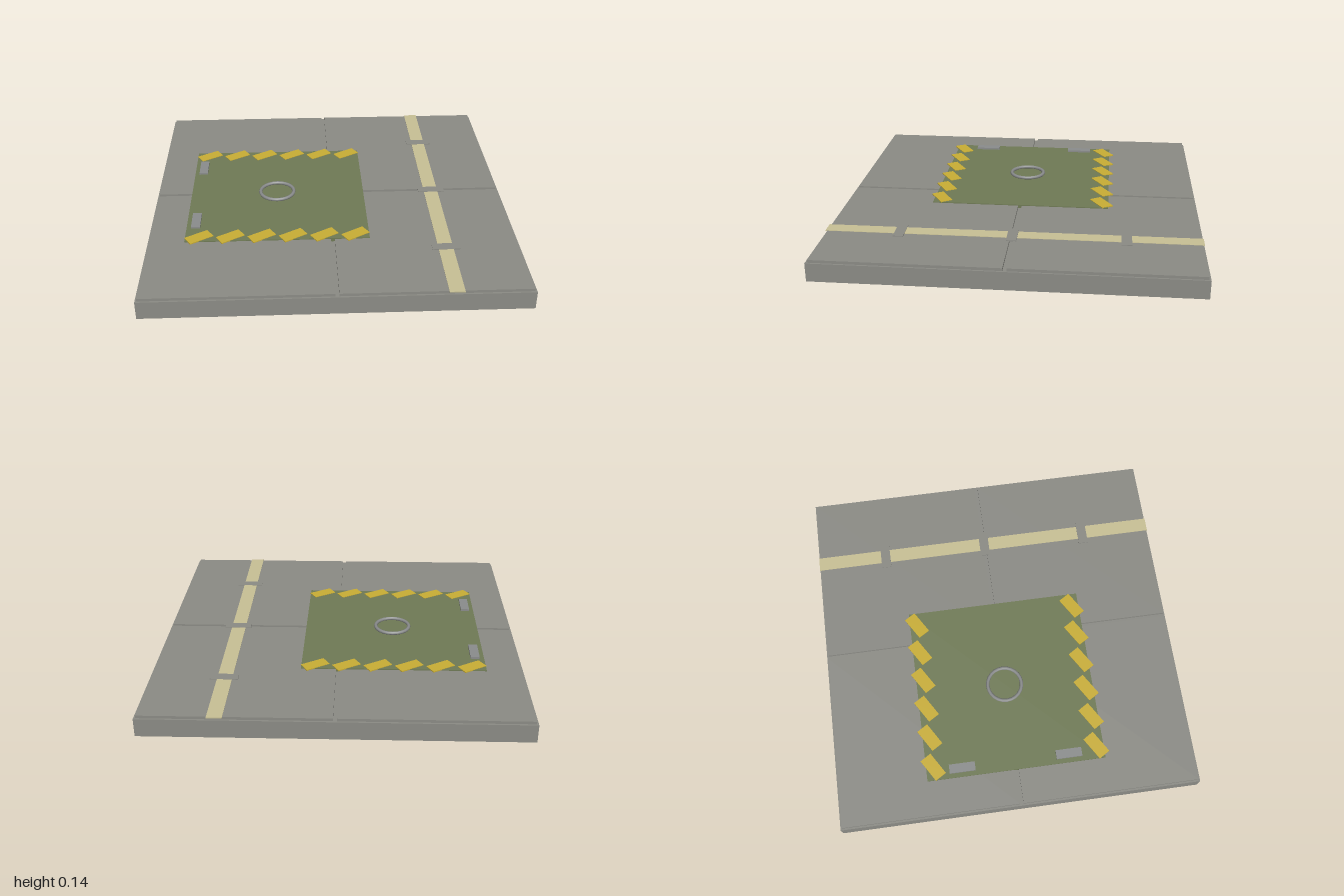
import * as THREE from 'three';

const paint = (name, color) => {
  const m = new THREE.MeshStandardMaterial({ color });
  m.name = name;
  return m;
};

export function createModel() {
  const concrete = paint('concrete grey', 0x8b8b85);
  const green = paint('hatch green', 0x6f7a55);
  const yellow = paint('hazard yellow', 0xc9ae35);
  const cream = paint('faded line cream', 0xc8c095);
  const steel = paint('steel grey', 0x8a8c8c);

  const model = new THREE.Group();
  model.name = 'floorTile';

  // Box placed by its centre in x and z and by its bottom and top in y
  const box = (name, material, x, z, w, d, y0, y1, turn = 0) => {
    const mesh = new THREE.Mesh(new THREE.BoxGeometry(w, y1 - y0, d), material);
    mesh.name = name;
    mesh.position.set(x, (y0 + y1) / 2, z);
    mesh.rotation.y = turn;
    model.add(mesh);
  };

  // Slab with four raised panels separated by narrow grooves
  box('baseSlab', concrete, 0, 0, 2, 2, 0, 0.1);
  for (const x of [-0.5, 0.5])
    for (const z of [-0.5, 0.5]) box('floorPanel', concrete, x, z, 0.98, 0.98, 0.1, 0.115);

  // Painted line, broken by three cross plates
  box('guideLine', cream, 0.597, 0, 0.08, 2, 0.112, 0.117);
  for (const z of [-0.6, 0, 0.6]) box('crossPlate', concrete, 0.6, z, 0.15, 0.055, 0.112, 0.119);

  // Hatch cover with hinges along its right edge
  box('hatchCover', green, -0.3, 0, 1, 1, 0.1, 0.12);
  for (const z of [-0.3, 0.3]) box('hinge', steel, -0.75, z, 0.05, 0.145, 0.12, 0.131);

  // Slanted hazard stripes along the front and back edges
  for (const z of [-0.46, 0.46])
    for (let i = 0; i < 6; i++)
      box('hazardStripe', yellow, -0.725 + i * 0.17, z, 0.14, 0.07, 0.117, 0.123, 0.55);

  // Lifting ring
  const ring = new THREE.Mesh(new THREE.TorusGeometry(0.097, 0.01, 8, 24), steel);
  ring.name = 'liftingRing';
  ring.rotation.x = -Math.PI / 2;
  ring.position.set(-0.303, 0.128, 0);
  model.add(ring);

  return model;
}
